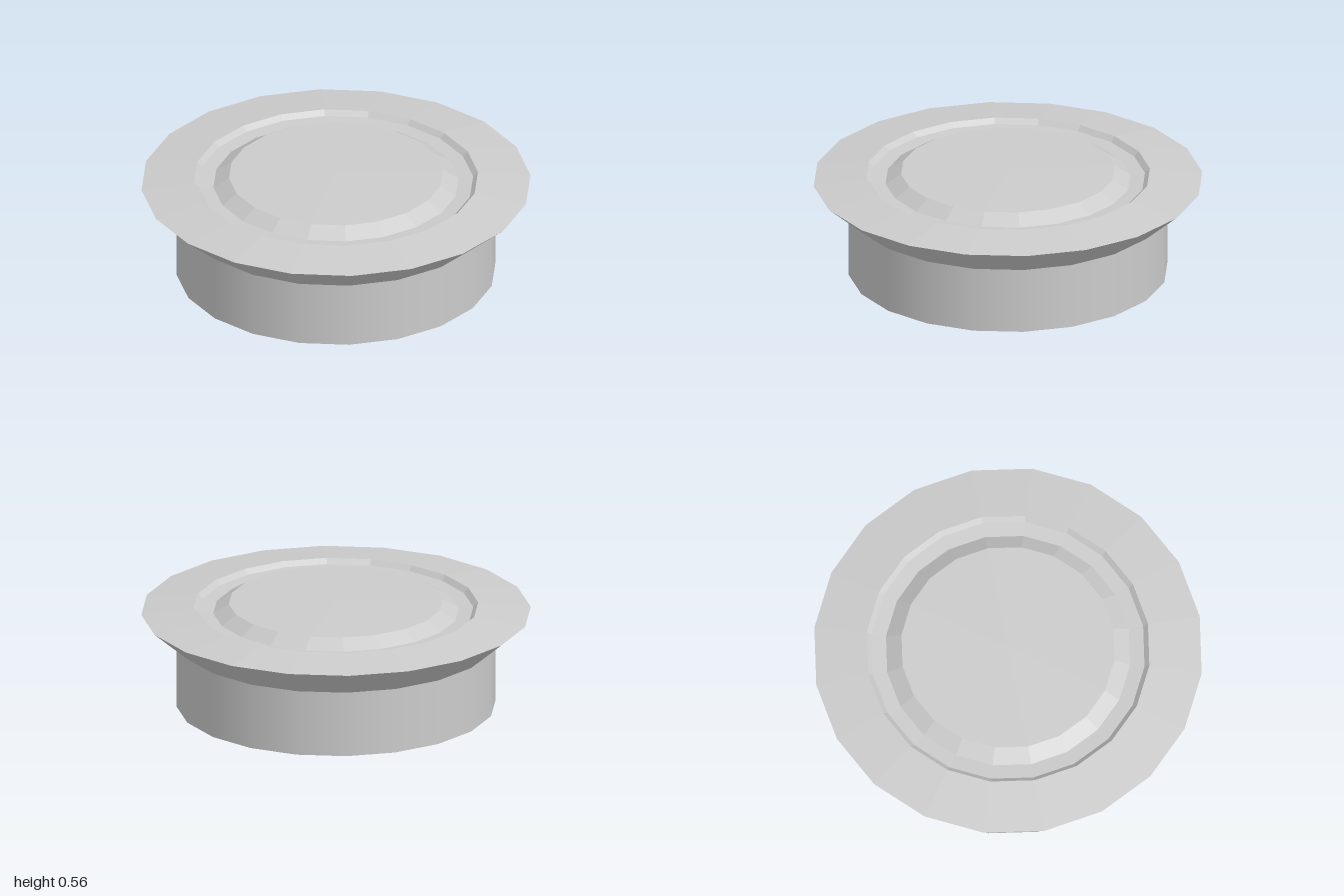
import * as THREE from 'three';

const SIDES = 20;

export function createModel() {
  const model = new THREE.Group();
  const smooth = new THREE.MeshStandardMaterial({ color: 0xcccccc });
  const faceted = new THREE.MeshStandardMaterial({ color: 0xcccccc, flatShading: true });

  const add = (name, geometry, material, y = 0) => {
    const mesh = new THREE.Mesh(geometry, material);
    mesh.name = name;
    mesh.position.y = y;
    model.add(mesh);
  };

  // Smooth round body with a closed bottom
  add('base', new THREE.CylinderGeometry(0.82, 0.82, 0.345, SIDES), smooth, 0.1725);

  // Flared rim, sloping top and the groove around the button
  const rimProfile = [
    [0.82, 0.345], [1, 0.5], [0.73, 0.53], [0.705, 0.505], [0.63, 0.5],
  ].map(([r, y]) => new THREE.Vector2(r, y));
  add('rim', new THREE.LatheGeometry(rimProfile, SIDES), faceted);

  // Bevelled button edge
  add('buttonBevel', new THREE.CylinderGeometry(0.55, 0.63, 0.05, SIDES, 1, true), faceted, 0.525);

  // Barely domed button top
  add('buttonTop', new THREE.ConeGeometry(0.55, 0.007, SIDES, 1, true), faceted, 0.5535);

  return model;
}
